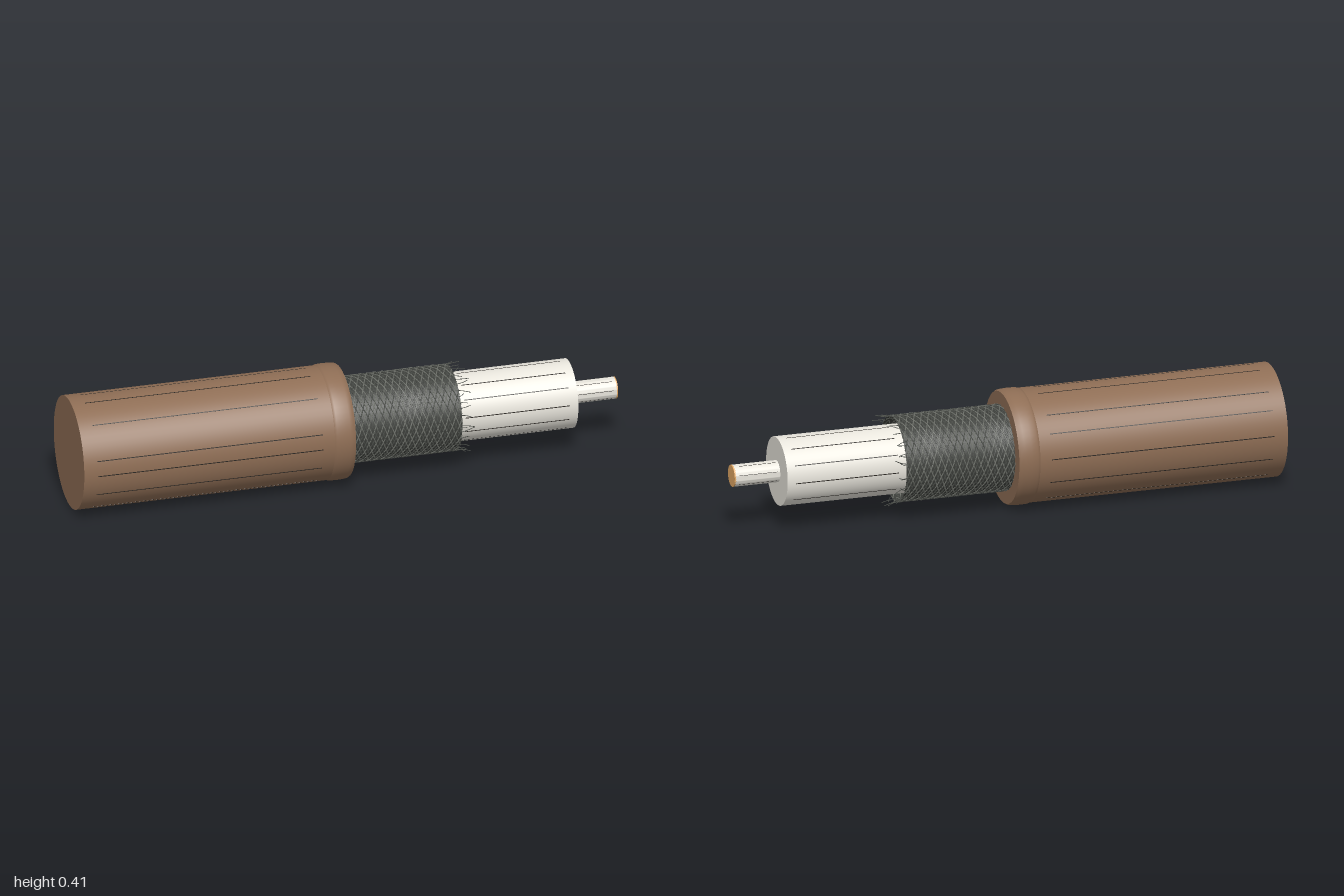
import * as THREE from 'three';
import { toCreasedNormals } from 'three/addons/utils/BufferGeometryUtils.js';

const paint = (color, side = THREE.FrontSide) => new THREE.MeshStandardMaterial({ color, side });

// Cable runs along +x: u = position along the axis, r = radius, a = angle around it
const point = (u, r, a) => new THREE.Vector3(u, r * Math.sin(a), r * Math.cos(a));

export function createModel() {
  const cable = new THREE.Group();
  cable.name = 'strippedCable';
  const brown = paint(0x8f6e55), cream = paint(0xe9e6dd), copper = paint(0xe6ab66);
  const dark = paint(0x2b2723), braidBase = paint(0x3c3e3a, THREE.DoubleSide);
  const wireDark = paint(0x50534e), wireLight = paint(0x757871);

  const add = (name, geo, mat, parent = cable) => {
    const mesh = new THREE.Mesh(geo, mat);
    mesh.name = name;
    parent.add(mesh);
    return mesh;
  };

  // Turned part from [u, r] pairs, in order of rising u
  const turned = (name, profile, mat) => {
    const geo = new THREE.LatheGeometry(profile.map(([u, r]) => new THREE.Vector2(r, u)), 64);
    geo.rotateZ(-Math.PI / 2);
    return add(name, toCreasedNormals(geo, 0.7), mat);
  };

  // Outer jacket and the rolled collar at its cut end
  turned('jacket', [[-0.99, 0], [-0.99, 0.203], [-0.04, 0.203], [-0.04, 0]], brown);
  turned('jacketCollar', [[-0.082, 0.198], [-0.077, 0.203], [-0.068, 0.206], [-0.045, 0.207],
    [-0.02, 0.206], [-0.006, 0.204], [0, 0.2], [0, 0]], brown);

  // Inner insulation, core wire and its bare copper tip
  turned('insulation', [[-0.02, 0.123], [0.83, 0.123], [0.83, 0]], cream);
  turned('coreWire', [[0.82, 0.039], [0.994, 0.039]], cream);
  turned('coreTip', [[0.992, 0.039], [0.998, 0.039], [0.998, 0]], copper);

  // Woven shield: open sleeve wrapped in wires wound both ways
  turned('shieldSleeve', [[-0.01, 0.151], [0.4, 0.151]], braidBase);
  const braid = new THREE.Group();
  braid.name = 'shieldBraid';
  cable.add(braid);
  const strands = 28, turns = 1.1, length = 0.405;
  for (const dir of [1, -1]) {
    for (let i = 0; i < strands; i++) {
      const path = Array.from({ length: 41 }, (_, k) => {
        const t = k / 40;
        const weave = 0.0015 * dir * Math.cos(t * turns * strands * Math.PI);
        return point(-0.005 + t * length, 0.1525 + weave, i / strands * Math.PI * 2 + dir * t * turns * Math.PI * 2);
      });
      add('braidWire', new THREE.TubeGeometry(new THREE.CatmullRomCurve3(path), 80, 0.0022, 4),
        i % 2 ? wireDark : wireLight, braid);
    }
  }

  // Frayed wire ends
  let seed = 7;
  const random = () => (seed = (seed * 16807) % 2147483647) / 2147483647;
  for (let i = 0; i < 44; i++) {
    const a = (i + random()) / 44 * Math.PI * 2, reach = 0.012 + 0.036 * random();
    const bend = (random() - 0.5) * 0.3, flare = 0.012 * random();
    const path = [point(0.385, 0.153, a), point(0.4 + reach * 0.4, 0.154, a + bend * 0.4),
      point(0.4 + reach, 0.154 + flare, a + bend)];
    add('frayedWire', new THREE.TubeGeometry(new THREE.CatmullRomCurve3(path), 4, 0.0013, 4), wireDark, braid);
  }

  // Fine grain lines along the jacket, insulation and core
  const grain = (name, u0, u1, r, width, degrees) => degrees.forEach((deg) => {
    const a = deg * Math.PI / 180;
    const line = add(name, new THREE.BoxGeometry(u1 - u0, width, width), dark);
    line.position.copy(point((u0 + u1) / 2, r, a));
    line.rotation.x = -a;
  });
  grain('jacketGrain', -0.94, -0.12, 0.2018, 0.003,
    [-53, -25, -2, 14, 51, 81, 101, 132, 152, 178, 204, 232, 262, 285]);
  grain('insulationGrain', 0.42, 0.8, 0.1218, 0.003, [-50, -22, 5, 35, 62, 95, 125, 155, 185, 220, 255, 285]);
  grain('coreGrain', 0.84, 0.98, 0.0386, 0.0015, [-40, 10, 60, 110, 165, 220, 275]);

  // Lay the cable on the ground, turned slightly toward the front
  cable.rotation.y = -0.043;
  cable.position.set(0, 0.207, 0.018);
  const model = new THREE.Group();
  model.name = 'cable';
  model.add(cable);
  return model;
}
